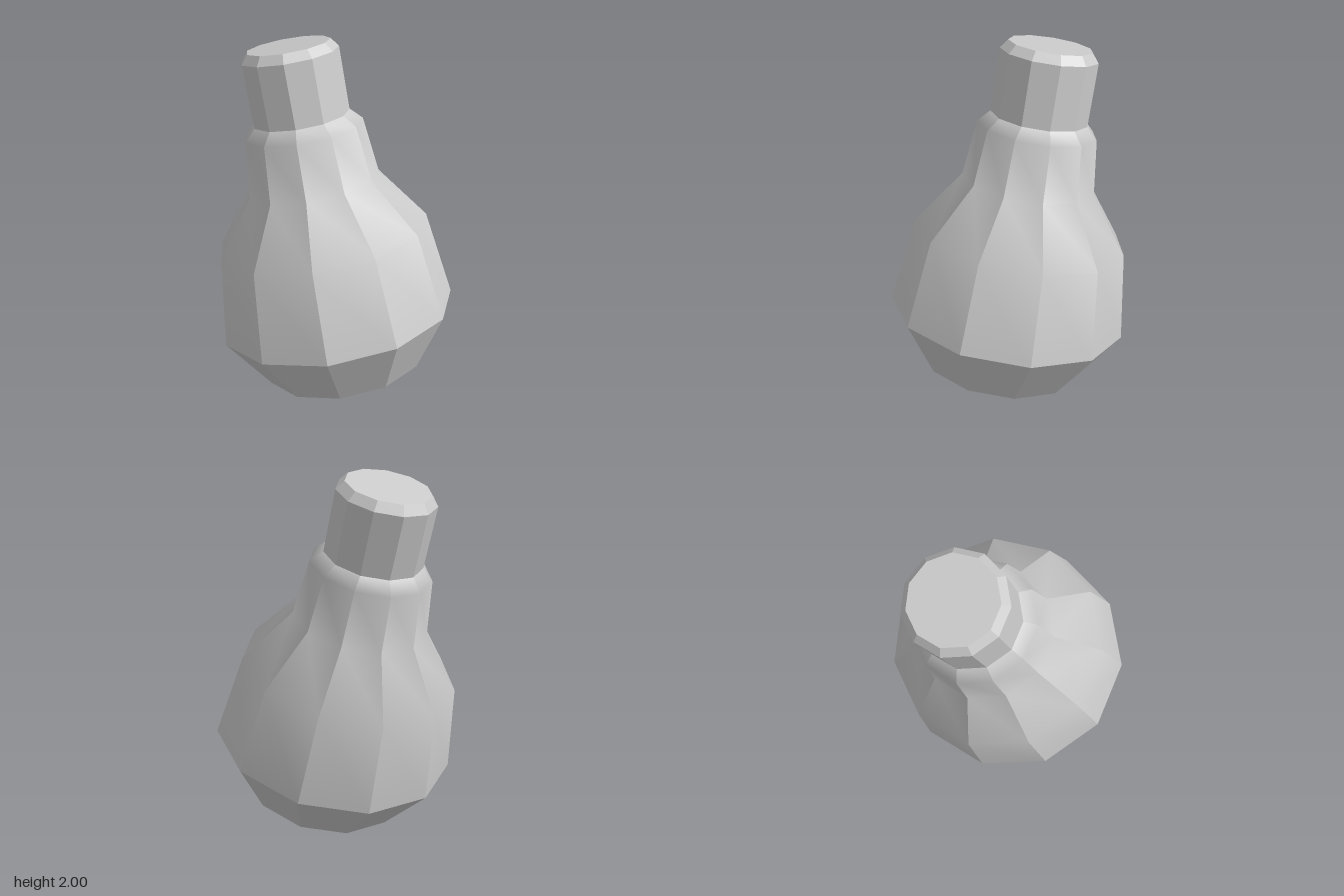
import * as THREE from 'three';
import { mergeGeometries } from 'three/addons/utils/BufferGeometryUtils.js';

const SIDES = 11;
const material = new THREE.MeshStandardMaterial({ color: 0xcccccc });

// One turned band: each column is flat across and smooth along its profile
function band(profile) {
  const points = profile.map(([r, y]) => new THREE.Vector2(r, y));
  const step = (Math.PI * 2) / SIDES;
  const columns = [];
  for (let i = 0; i < SIDES; i++) {
    const column = new THREE.LatheGeometry(points, 1, -Math.PI / 2 + i * step, step);
    column.computeVertexNormals();
    columns.push(column);
  }
  return mergeGeometries(columns);
}

// Bands meet at sharp edges
function turnedPart(name, profiles) {
  const mesh = new THREE.Mesh(mergeGeometries(profiles.map(band)), material);
  mesh.name = name;
  return mesh;
}

export function createModel() {
  const model = new THREE.Group();
  model.name = 'bulb';

  const tilted = new THREE.Group();
  tilted.name = 'tiltedBulb';
  tilted.position.set(0.14, 0.005, 0);
  tilted.rotation.z = THREE.MathUtils.degToRad(13.5);
  model.add(tilted);

  // Pointed underside, belly and shoulder
  tilted.add(turnedPart('body', [
    [[0, 0], [0.45, 0.175]],
    [[0.45, 0.175], [0.655, 0.483]],
    [[0.655, 0.483], [0.58, 0.962], [0.36, 1.26], [0.322, 1.558], [0.26, 1.62]],
  ]));

  // Straight neck with a bevelled flat end
  tilted.add(turnedPart('neck', [
    [[0.26, 1.62], [0.26, 1.957]],
    [[0.26, 1.957], [0.223, 2.004]],
    [[0.223, 2.004], [0, 2.004]],
  ]));

  return model;
}
